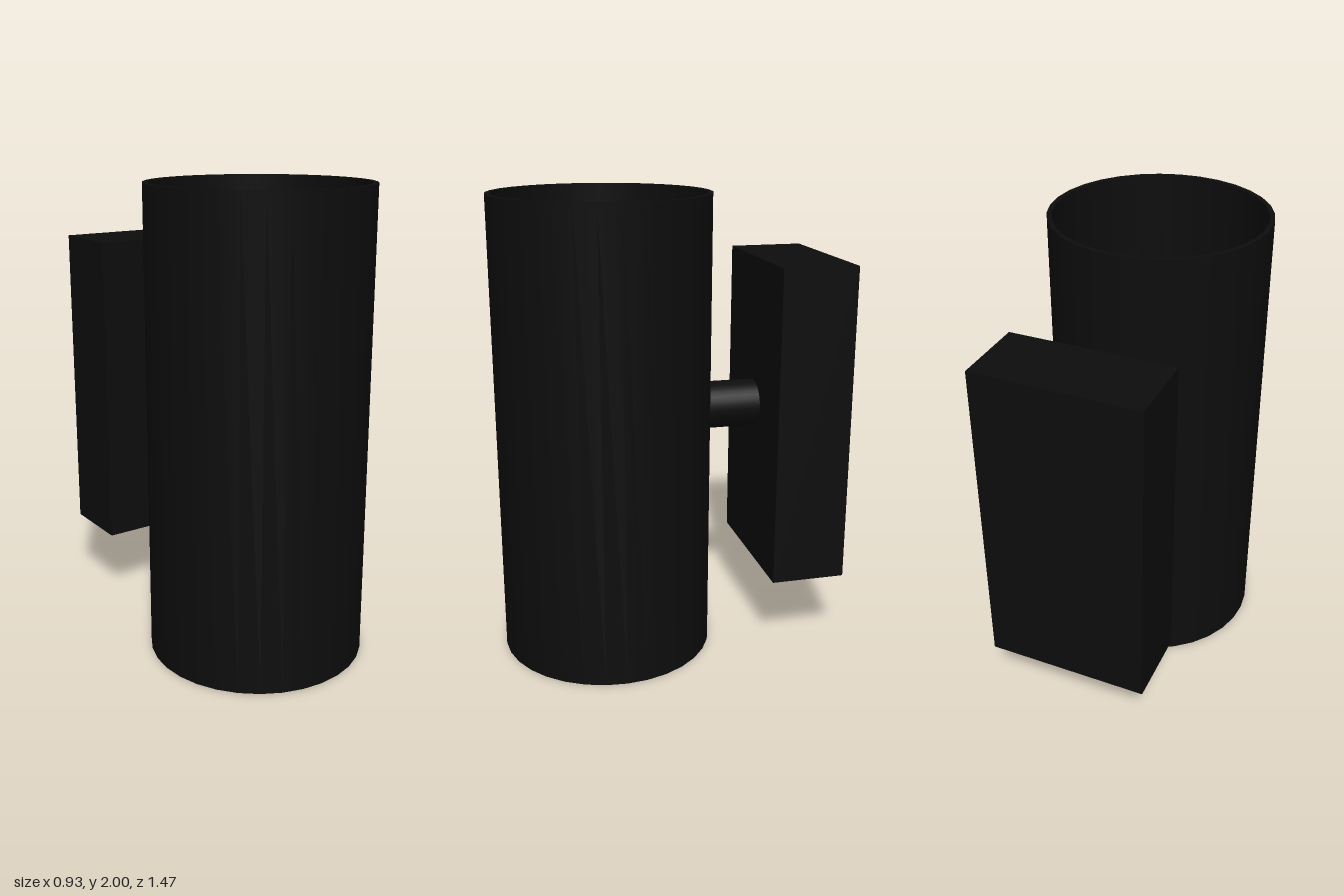
import * as THREE from 'three';
import { toCreasedNormals } from 'three/addons/utils/BufferGeometryUtils.js';

export function createModel() {
  const group = new THREE.Group();
  const material = new THREE.MeshStandardMaterial({ color: 0x0d0d0d });

  const add = (name, geometry, x, y, z) => {
    const mesh = new THREE.Mesh(geometry, material);
    mesh.name = name;
    mesh.position.set(x, y, z);
    group.add(mesh);
    return mesh;
  };

  // Open-ended lamp tube: a thin wall with flat rims at both ends
  const outer = 0.464, inner = 0.443, height = 2;
  const wall = [
    [inner, 0], [outer, 0], [outer, height], [inner, height], [inner, 0],
  ].map(([r, y]) => new THREE.Vector2(r, y));
  add('lampTube', toCreasedNormals(new THREE.LatheGeometry(wall, 32), 0.6), 0, 0, 0.27);

  // Round arm joining the tube to the wall box
  const armFront = -0.18, armBack = -0.42;
  const arm = new THREE.CylinderGeometry(0.104, 0.104, armFront - armBack, 32);
  arm.rotateX(Math.PI / 2);
  add('arm', arm, 0, 1.065, (armFront + armBack) / 2);

  // Wall-mounting box
  add('wallBox', new THREE.BoxGeometry(0.695, 1.38, 0.325), 0, 1.024, -0.571);

  return group;
}
